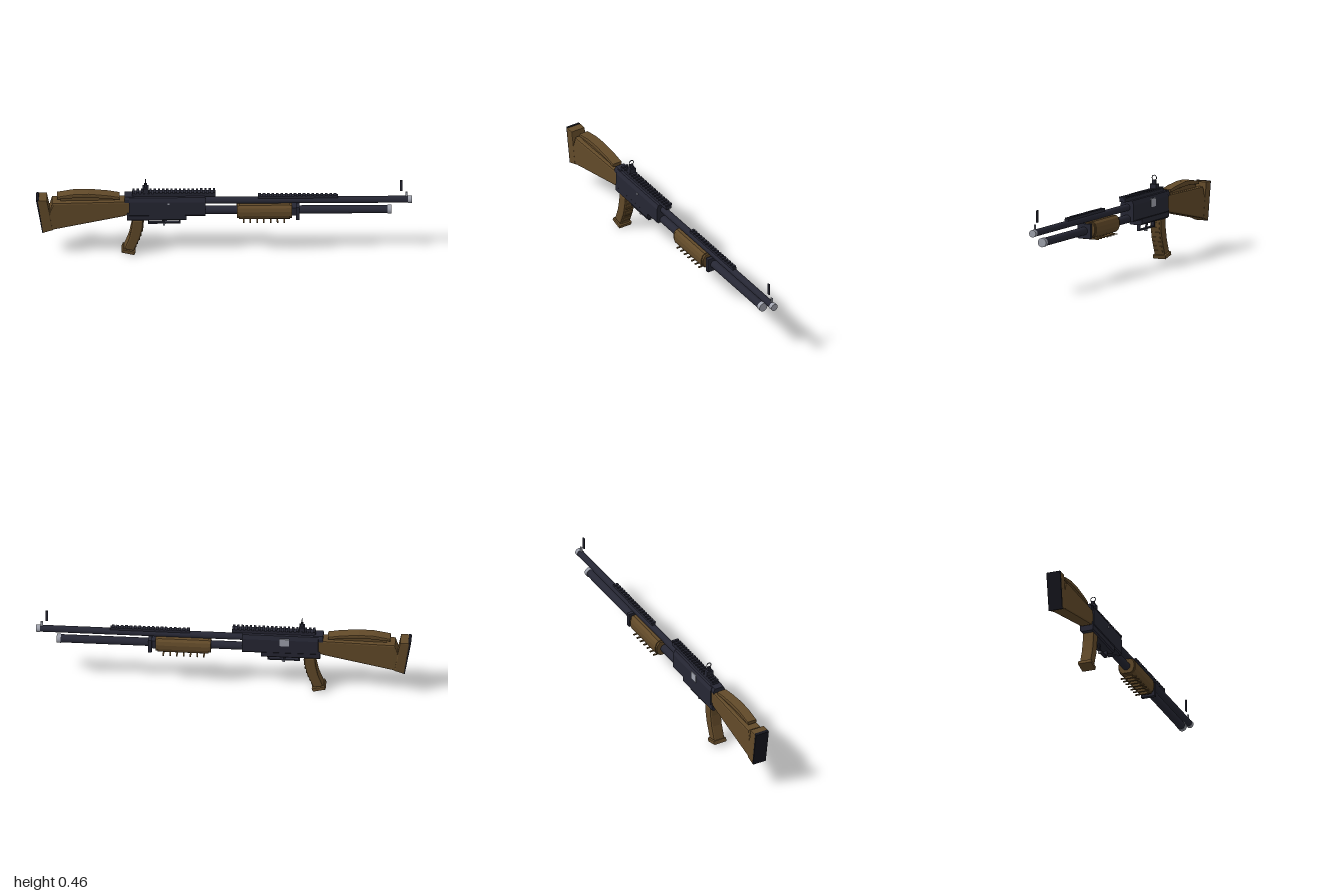
import * as THREE from 'three';

const mat = (name, color) => {
  const m = new THREE.MeshStandardMaterial({ color });
  m.name = name;
  return m;
};

export function createModel() {
  const root = new THREE.Group();
  root.name = 'longGun';
  const metal = mat('darkMetal', 0x262734);
  const wood = mat('brownGrip', 0x624a29);
  const steel = mat('paleSteel', 0xa0a3ae);
  const rubber = mat('blackRubber', 0x15151d);

  const add = (name, geo, material, x = 0, y = 0, z = 0) => {
    const mesh = new THREE.Mesh(geo, material);
    mesh.name = name;
    mesh.position.set(x, y, z);
    root.add(mesh);
    return mesh;
  };
  // Box given by its x and y ranges, centred on z unless shifted
  const box = (name, material, x0, x1, y0, y1, w, z = 0) =>
    add(name, new THREE.BoxGeometry(x1 - x0, y1 - y0, w), material, (x0 + x1) / 2, (y0 + y1) / 2, z);
  // Round bar along x
  const rod = (name, material, x0, x1, y, r, sides = 24) =>
    add(name, new THREE.CylinderGeometry(r, r, x1 - x0, sides).rotateZ(-Math.PI / 2), material, (x0 + x1) / 2, y);
  const outline = (pts) => new THREE.Shape(pts.map(([a, b]) => new THREE.Vector2(a, b)));
  // Side outline with bevelled edges, centred on z
  const slab = (pts, width, bevel) => new THREE.ExtrudeGeometry(outline(pts), {
    depth: width - 2 * bevel, bevelEnabled: true, bevelSize: bevel, bevelThickness: bevel,
    bevelOffset: -bevel, bevelSegments: 2, curveSegments: 8,
  }).translate(0, 0, bevel - width / 2);
  // Mirrored half section (z, y) from bottom to top, swept along x
  const sweep = (name, material, half, x0, x1) => {
    const pts = [...half, ...half.slice().reverse().map(([z, y]) => [-z, y])];
    const geo = new THREE.ExtrudeGeometry(outline(pts), { depth: x1 - x0, bevelEnabled: false });
    return add(name, geo.rotateY(Math.PI / 2), material, x0);
  };

  // Barrel and tube below it, with pale end caps
  rod('barrel', metal, -0.12, 0.978, 0.327, 0.0185);
  rod('barrelTip', steel, 0.978, 1.0, 0.327, 0.02);
  rod('lowerTube', metal, -0.12, 0.868, 0.265, 0.022);
  rod('lowerTubeCap', steel, 0.868, 0.89, 0.265, 0.0245);

  // Receiver
  sweep('receiver', metal, [[0.034, 0.25], [0.04, 0.258], [0.04, 0.34], [0.031, 0.364]], -0.505, -0.1);
  sweep('receiverTang', metal, [[0.034, 0.335], [0.034, 0.352], [0.026, 0.368]], -0.53, -0.48);
  sweep('receiverBase', metal, [[0.03, 0.22], [0.037, 0.228], [0.037, 0.27]], -0.515, -0.2);
  box('ejectionPort', steel, -0.35, -0.3, 0.305, 0.35, 0.006, -0.0405);
  box('sidePin', steel, -0.3, -0.29, 0.325, 0.335, 0.004, 0.0405);

  // Toothed top rail
  box('topRail', metal, -0.49, -0.045, 0.362, 0.381, 0.034);
  for (let i = 0; i < 20; i++) {
    const x = -0.487 + i * 0.0225;
    box('railTooth', metal, x, x + 0.012, 0.38, 0.39, 0.04);
  }

  // Rear ring sight
  box('rearSightBase', metal, -0.432, -0.402, 0.385, 0.414, 0.038);
  box('rearSightPost', metal, -0.424, -0.41, 0.41, 0.434, 0.018);
  add('rearSightRing', new THREE.TorusGeometry(0.0135, 0.0022, 6, 24).rotateY(Math.PI / 2), metal, -0.417, 0.446);

  // Front sight: pale post and raised blade
  box('frontSightPost', steel, 0.964, 0.976, 0.342, 0.372, 0.008);
  box('frontSightBlade', metal, 0.936, 0.95, 0.38, 0.446, 0.006);

  // Barrel rib
  box('barrelRib', metal, 0.18, 0.605, 0.343, 0.356, 0.022);
  for (let i = 0; i < 18; i++) {
    const x = 0.182 + i * 0.0236;
    box('ribTooth', metal, x, x + 0.014, 0.355, 0.361, 0.026);
  }

  // Fore grip with cross bars under it
  const fore = new THREE.Shape();
  fore.absellipse(0, 0, 0.034, 0.03, 0, Math.PI * 2);
  const corner = [[0.026, 0.222], [0.041, 0.235], [0.048, 0.255], [0.048, 0.28], [0.041, 0.3], [0.028, 0.311]];
  sweep('foreGrip', wood, corner, 0.08, 0.35);
  const endCorner = corner.map(([z, y]) => [z * 0.9, 0.2665 + (y - 0.2665) * 0.9]);
  sweep('foreGripEnds', wood, endCorner, 0.068, 0.362);
  for (let i = 0; i < 7; i++) {
    const x = 0.1 + i * 0.036;
    box('foreGripBar', wood, x, x + 0.008, 0.21, 0.216, 0.092);
    box('foreGripBarStem', wood, x, x + 0.008, 0.214, 0.226, 0.04);
  }
  add('tubeClamp', slab([[0.382, 0.224], [0.402, 0.224], [0.402, 0.304], [0.382, 0.304]], 0.08, 0.003), metal);
  box('clampLink', metal, 0.36, 0.384, 0.242, 0.29, 0.05);

  // Butt stock, narrowing toward the receiver
  const stock = slab([[-0.988, 0.352], [-0.945, 0.357], [-0.928, 0.285], [-0.914, 0.337], [-0.5, 0.342],
    [-0.488, 0.262], [-0.53, 0.246], [-0.9, 0.168], [-0.955, 0.15]], 0.08, 0.01);
  const p = stock.attributes.position;
  for (let i = 0; i < p.count; i++) {
    const t = THREE.MathUtils.clamp((p.getX(i) + 0.93) / 0.4, 0, 1);
    p.setZ(i, p.getZ(i) * (1 - 0.17 * t));
  }
  stock.computeVertexNormals();
  add('stock', stock, wood);
  add('stockHeel', slab([[-0.992, 0.357], [-0.942, 0.357], [-0.928, 0.285], [-0.91, 0.166], [-0.963, 0.149]], 0.084, 0.006), wood);
  add('buttPad', slab([[-1, 0.356], [-0.985, 0.36], [-0.952, 0.152], [-0.966, 0.147]], 0.08, 0.003), rubber);

  // Arched cheek rest
  add('cheekRest', slab([[-0.888, 0.352], [-0.888, 0.37], [-0.8, 0.386], [-0.72, 0.388], [-0.62, 0.378],
    [-0.555, 0.366], [-0.555, 0.348], [-0.65, 0.358], [-0.78, 0.362]], 0.056, 0.006), wood);
  box('cheekRestMount', wood, -0.87, -0.58, 0.335, 0.359, 0.03);

  // Curved pistol grip with finger ridges and foot
  add('pistolGrip', slab([[-0.488, 0.222], [-0.43, 0.222], [-0.432, 0.17], [-0.445, 0.11], [-0.478, 0.025],
    [-0.532, 0.036], [-0.505, 0.11], [-0.493, 0.17]], 0.066, 0.009), wood);
  const front = new THREE.CatmullRomCurve3([[-0.431, 0.2], [-0.433, 0.165], [-0.446, 0.11], [-0.472, 0.045]]
    .map(([x, y]) => new THREE.Vector3(x, y, 0)));
  for (let i = 0; i < 7; i++) {
    const c = front.getPointAt(i / 6);
    const ridge = box('gripRidge', wood, c.x - 0.004, c.x + 0.004, c.y - 0.005, c.y + 0.005, 0.046);
    ridge.rotation.z = -0.1 - i * 0.05;
  }
  add('gripFoot', slab([[-0.544, 0.019], [-0.537, 0.038], [-0.47, 0.022], [-0.477, 0.002]], 0.077, 0.004), wood);

  // Trigger and guard
  box('guardBottom', metal, -0.405, -0.232, 0.184, 0.191, 0.018);
  box('guardRear', metal, -0.405, -0.398, 0.184, 0.224, 0.018);
  box('guardFront', metal, -0.239, -0.232, 0.184, 0.224, 0.018);
  add('trigger', slab([[-0.338, 0.224], [-0.318, 0.224], [-0.322, 0.205], [-0.312, 0.18], [-0.318, 0.18], [-0.332, 0.202]], 0.01, 0.001), metal);
  box('triggerTip', steel, -0.325, -0.314, 0.173, 0.184, 0.015);

  return root;
}
